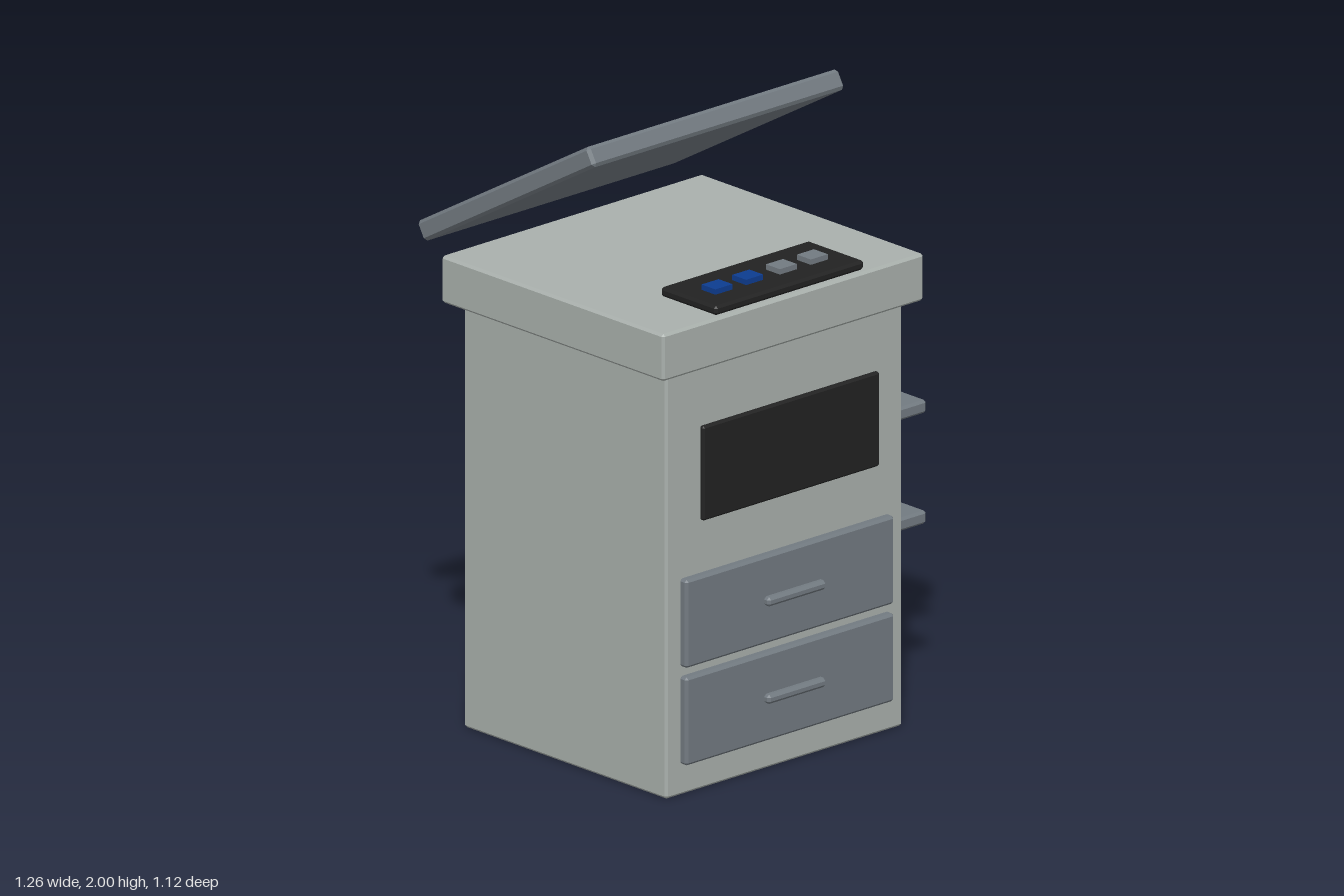
import * as THREE from 'three';
import { ConvexGeometry } from 'three/addons/geometries/ConvexGeometry.js';

const material = (name, color) => {
  const m = new THREE.MeshStandardMaterial({ color });
  m.name = name;
  return m;
};

// Box with flat chamfered edges: hull of three points per corner
function chamferBox(w, h, d, c) {
  const points = [];
  for (const x of [-1, 1]) for (const y of [-1, 1]) for (const z of [-1, 1]) {
    for (let axis = 0; axis < 3; axis++) {
      points.push(new THREE.Vector3(
        x * (w / 2 - (axis === 0 ? 0 : c)),
        y * (h / 2 - (axis === 1 ? 0 : c)),
        z * (d / 2 - (axis === 2 ? 0 : c))));
    }
  }
  return new ConvexGeometry(points);
}

export function createModel() {
  const model = new THREE.Group();
  model.name = 'serviceCabinet';

  const shell = material('paleGrey', 0xa9b0ac);
  const trim = material('slateGrey', 0x727a81);
  const dark = material('black', 0x222222);
  const blue = material('blue', 0x0d3c90);

  // Adds a box given by its extents on each axis
  function addBox(name, mat, [x0, x1], [y0, y1], [z0, z1], chamfer = 0.008, parent = model) {
    const size = [x1 - x0, y1 - y0, z1 - z0];
    const geometry = chamfer ? chamferBox(...size, chamfer) : new THREE.BoxGeometry(...size);
    const mesh = new THREE.Mesh(geometry, mat);
    mesh.name = name;
    mesh.position.set((x0 + x1) / 2, (y0 + y1) / 2, (z0 + z1) / 2);
    parent.add(mesh);
    return mesh;
  }

  // Cabinet and overhanging worktop
  addBox('cabinetBody', shell, [-0.58, 0.39], [0, 1.35], [-0.39, 0.5]);
  addBox('worktop', shell, [-0.63, 0.44], [1.35, 1.5], [-0.435, 0.54]);

  // Front screen, standing just off the body
  addBox('frontScreen', dark, [-0.46, 0.265], [0.865, 1.165], [0.515, 0.535], 0.006);

  // Drawers with bar handles
  [0.1, 0.41].forEach((y, i) => {
    const drawer = new THREE.Group();
    drawer.name = i ? 'upperDrawer' : 'lowerDrawer';
    addBox('drawerFront', trim, [-0.525, 0.33], [y, y + 0.28], [0.495, 0.53], 0.008, drawer);
    addBox('drawerHandle', trim, [-0.215, 0.025], [y + 0.127, y + 0.157], [0.53, 0.56], 0.009, drawer);
    model.add(drawer);
  });

  // Side shelves
  [0.545, 0.897].forEach((y, i) => {
    addBox(i ? 'upperShelf' : 'lowerShelf', trim, [0.38, 0.63], [y, y + 0.042], [-0.245, 0.35]);
  });

  // Control panel and buttons
  addBox('controlPanel', dark, [-0.4, 0.21], [1.5, 1.53], [0.28, 0.525]);
  [-0.292, -0.166, -0.028, 0.099].forEach((x, i) => {
    addBox('button', i < 2 ? blue : trim, [x - 0.035, x + 0.035], [1.528, 1.547], [0.384, 0.445], 0);
  });

  // Raised lid, tilted up towards the front
  const lid = addBox('lid', trim, [-0.612, 0.42], [1.725, 1.79], [-0.6075, 0.2625], 0.01);
  lid.rotation.x = -Math.PI / 6;

  return model;
}
